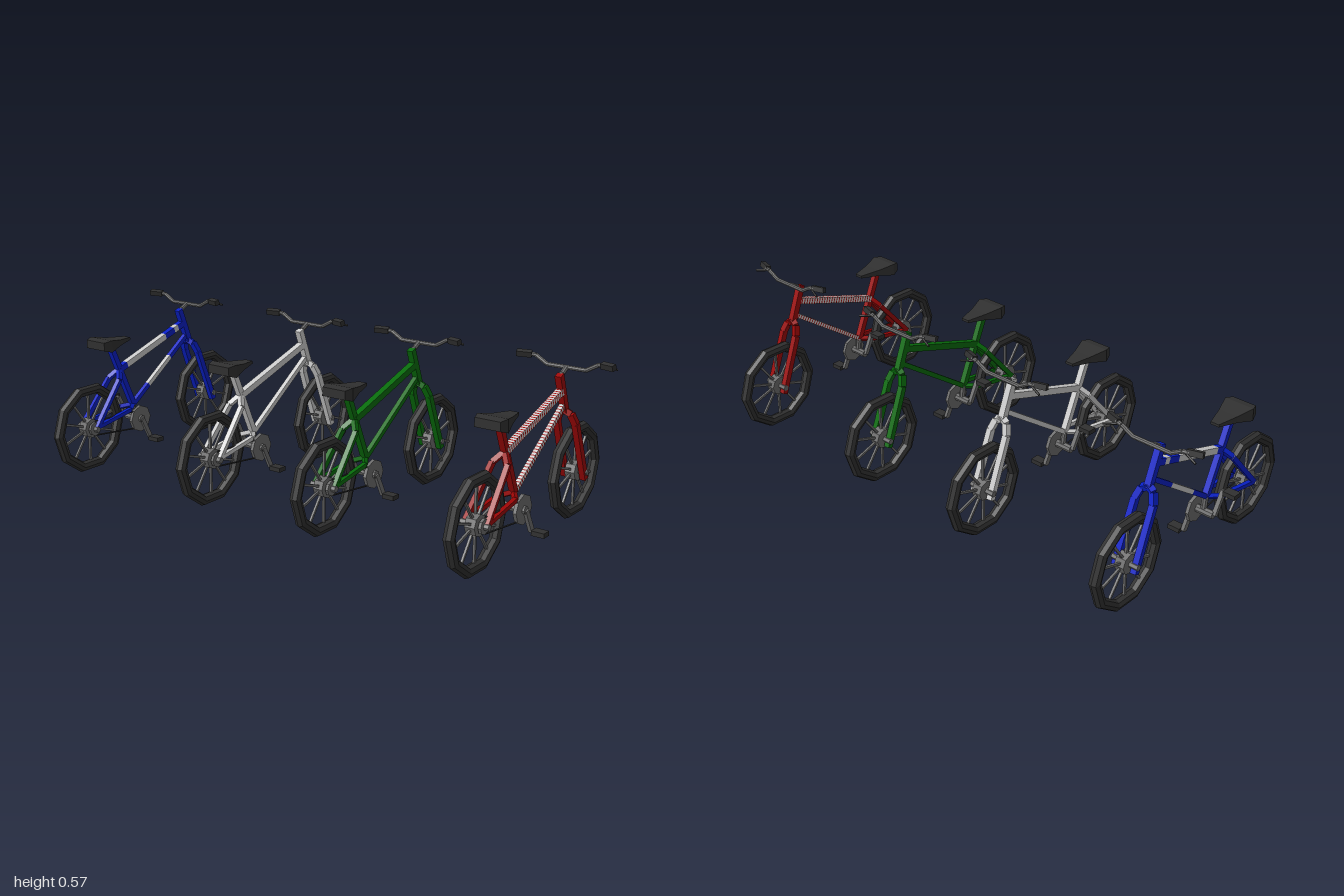
import * as THREE from 'three';

const mat = (name, color) => {
  const m = new THREE.MeshStandardMaterial({ color });
  m.name = name;
  m.flatShading = true;
  return m;
};
const V = (x, y, z) => new THREE.Vector3(x, y, z);

export function createModel() {
  const rubber = mat('rubber', 0x303030);
  const steel = mat('steel', 0x6c6c6c);
  const blue = mat('blue paint', 0x0820c8);
  const white = mat('white paint', 0xcccccc);
  const green = mat('green paint', 0x066c0a);
  const red = mat('red paint', 0x9c0606);

  const add = (parent, name, geo, material, pos) => {
    const m = new THREE.Mesh(geo, material);
    m.name = name;
    if (pos) m.position.copy(pos);
    parent.add(m);
    return m;
  };

  // Straight bar between two points: round, or square when it has four sides
  const bar = (parent, name, a, b, r, material, sides = 8) => {
    const d = b.clone().sub(a);
    const square = sides === 4;
    const radius = square ? r * Math.SQRT2 : r;
    const geo = new THREE.CylinderGeometry(radius, radius, d.length(), sides);
    if (square) geo.rotateY(Math.PI / 4);
    const m = add(parent, name, geo, material, a.clone().add(b).multiplyScalar(0.5));
    m.quaternion.setFromUnitVectors(V(0, 1, 0), d.normalize());
    return m;
  };
  const chainOfBars = (parent, name, pts, r, material, sides) => {
    for (let i = 0; i + 1 < pts.length; i++) bar(parent, name, pts[i], pts[i + 1], r, material, sides);
  };
  // Square bar painted in bands: [start, end, material] as fractions
  const banded = (parent, name, a, b, r, bands) => bands.forEach(([s, e, m]) =>
    bar(parent, name, a.clone().lerp(b, s), a.clone().lerp(b, e), r, m, 4));

  // Ten-sided tyre with ten spokes and a hub
  const wheel = (parent, name, z) => {
    const g = new THREE.Group();
    g.name = name;
    g.position.set(0, 0.162, z);
    const tyre = new THREE.TorusGeometry(0.148, 0.0195, 8, 10);
    tyre.rotateY(Math.PI / 2);
    add(g, 'tyre', tyre, rubber);
    for (let i = 0; i < 10; i++) {
      const a = (i + 0.5) * Math.PI / 5, c = Math.cos(a), s = Math.sin(a);
      bar(g, 'spoke', V(0, s * 0.02, c * 0.02), V(0, s * 0.132, c * 0.132), 0.004, steel, 4);
    }
    bar(g, 'hub', V(-0.018, 0, 0), V(0.018, 0, 0), 0.036, steel);
    bar(g, 'axle', V(-0.05, 0, 0), V(0.05, 0, 0), 0.011, steel, 6);
    parent.add(g);
  };

  // Saddle from four-sided sections: z, half width, bottom, top
  const saddleGeometry = () => {
    const sections = [[0.27, 0.046, 0.447, 0.477], [0.24, 0.056, 0.438, 0.482],
      [0.18, 0.036, 0.449, 0.471], [0.107, 0.016, 0.456, 0.465]];
    const pos = [], idx = [];
    sections.forEach(([z, w, lo, hi]) => pos.push(-w, lo, z, w, lo, z, w * 0.96, hi, z, -w * 0.96, hi, z));
    for (let i = 0; i < 3; i++) {
      for (let j = 0; j < 4; j++) {
        const a = i * 4 + j, b = i * 4 + (j + 1) % 4;
        idx.push(a, a + 4, b, b, a + 4, b + 4);
      }
    }
    idx.push(0, 1, 2, 0, 2, 3, 12, 14, 13, 12, 15, 14);
    const g = new THREE.BufferGeometry();
    g.setAttribute('position', new THREE.Float32BufferAttribute(pos, 3));
    g.setIndex(idx);
    g.computeVertexNormals();
    return g;
  };

  const bicycle = (name, x, paint, topBands, downBands) => {
    const b = new THREE.Group();
    b.name = name;
    b.position.x = x;
    wheel(b, 'rearWheel', 0.321);
    wheel(b, 'frontWheel', -0.32);

    // Frame
    const seatJoint = V(0, 0.35, 0.157), bracket = V(0, 0.2, 0.092);
    bar(b, 'seatTube', V(0, 0.45, 0.2), bracket, 0.0105, paint, 4);
    banded(b, 'topTube', seatJoint, V(0, 0.464, -0.197), 0.0115, topBands);
    banded(b, 'downTube', bracket, V(0, 0.412, -0.213), 0.0085, downBands);
    bar(b, 'headTube', V(0, 0.52, -0.177), V(0, 0.385, -0.2285), 0.0115, paint, 4);
    for (const s of [-1, 1]) {
      chainOfBars(b, 'forkLeg', [V(0, 0.392, -0.226), V(s * 0.022, 0.38, -0.231),
        V(s * 0.034, 0.345, -0.244), V(s * 0.036, 0.137, -0.323)], 0.0105, paint, 4);
      chainOfBars(b, 'seatStay', [seatJoint, V(s * 0.027, 0.318, 0.185),
        V(s * 0.037, 0.165, 0.317)], 0.0085, paint, 4);
      chainOfBars(b, 'chainStay', [bracket, V(s * 0.03, 0.193, 0.135),
        V(s * 0.037, 0.167, 0.317)], 0.0075, paint, 4);
    }
    add(b, 'saddle', saddleGeometry(), rubber);

    // Stem, handlebar, grips and brake levers
    chainOfBars(b, 'stem', [V(0, 0.51, -0.181), V(0, 0.52, -0.195), V(0, 0.536, -0.225)], 0.009, steel);
    bar(b, 'handlebar', V(-0.07, 0.536, -0.225), V(0.07, 0.536, -0.225), 0.0075, steel);
    for (const s of [-1, 1]) {
      chainOfBars(b, 'handlebar', [V(s * 0.07, 0.536, -0.225), V(s * 0.112, 0.56, -0.226),
        V(s * 0.135, 0.562, -0.223)], 0.0075, steel);
      bar(b, 'grip', V(s * 0.125, 0.562, -0.222), V(s * 0.174, 0.563, -0.208), 0.0095, rubber, 4);
      bar(b, 'brakeLever', V(s * 0.125, 0.558, -0.228), V(s * 0.17, 0.549, -0.243), 0.004, rubber, 5);
    }

    // Chainring, cranks, pedals and chain
    const cy = 0.147, cz = 0.086;
    bar(b, 'chainring', V(0.024, cy, cz), V(0.036, cy, cz), 0.051, steel);
    bar(b, 'crankAxle', V(-0.04, cy, cz), V(0.044, cy, cz), 0.014, steel);
    bar(b, 'bottomBracket', V(0, 0.2, 0.092), V(0, cy, cz), 0.011, steel);
    bar(b, 'sprocket', V(0.024, 0.162, 0.321), V(0.034, 0.162, 0.321), 0.026, steel);
    for (const s of [-1, 1]) {
      const py = cy - s * 0.08, pz = cz - s * 0.036;
      bar(b, 'crankArm', V(s * 0.042, cy, cz), V(s * 0.046, py, pz), 0.0075, steel, 4);
      bar(b, 'pedalAxle', V(s * 0.04, py, pz), V(s * 0.06, py, pz), 0.005, steel, 6);
      add(b, 'pedal', new THREE.BoxGeometry(0.046, 0.016, 0.034), rubber, V(s * 0.076, py, pz));
    }
    bar(b, 'chain', V(0.03, 0.19, 0.316), V(0.03, 0.18, 0.095), 0.003, rubber, 5);
    bar(b, 'chain', V(0.03, 0.137, 0.316), V(0.03, 0.112, 0.095), 0.003, rubber, 5);
    return b;
  };

  const plain = m => [[0, 1, m]];
  // Fine white and red rings, about two thirds white
  const speckled = Array.from({ length: 30 }, (_, i) => [
    [i / 30, (i + 0.66) / 30, white], [(i + 0.66) / 30, (i + 1) / 30, red]]).flat();

  const model = new THREE.Group();
  model.name = 'bicycles';
  model.add(
    bicycle('blueBicycle', -0.825, blue,
      [[0, 0.1, blue], [0.1, 0.7, white], [0.7, 0.84, blue], [0.84, 0.9, white], [0.9, 1, blue]],
      [[0, 0.28, blue], [0.28, 0.68, white], [0.68, 1, blue]]),
    bicycle('whiteBicycle', -0.23, white, plain(white), plain(white)),
    bicycle('greenBicycle', 0.258, green, plain(green), plain(green)),
    bicycle('redBicycle', 0.825, red, speckled, speckled),
  );
  return model;
}
